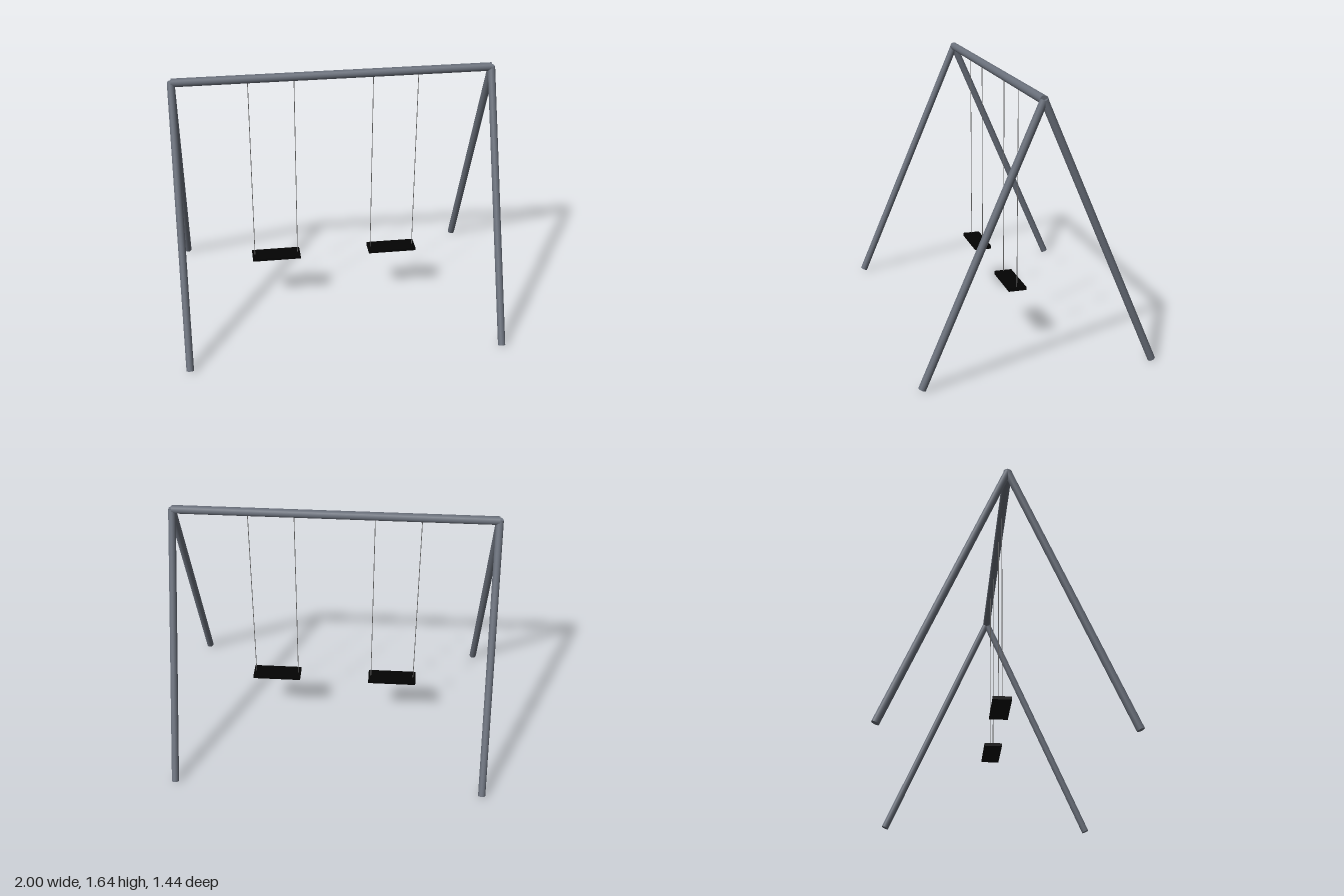
import * as THREE from 'three';

export function createModel() {
  const model = new THREE.Group();
  model.name = 'swingSet';

  const steel = new THREE.MeshStandardMaterial({ name: 'blue grey steel', color: 0x6a707b });
  const rubber = new THREE.MeshStandardMaterial({ name: 'black rubber', color: 0x030303 });
  const cable = new THREE.MeshStandardMaterial({ name: 'grey cable', color: 0x747474 });

  const BEAM_Y = 1.614;
  const LEG_X = 0.977;
  const UP = new THREE.Vector3(0, 1, 0);

  // Straight round bar between two points
  function bar(name, from, to, radius, sides, material) {
    const a = new THREE.Vector3(...from);
    const b = new THREE.Vector3(...to);
    const dir = b.clone().sub(a);
    const mesh = new THREE.Mesh(
      new THREE.CylinderGeometry(radius, radius, dir.length(), sides), material);
    mesh.position.copy(a).add(b).multiplyScalar(0.5);
    mesh.quaternion.setFromUnitVectors(UP, dir.normalize());
    mesh.name = name;
    return mesh;
  }

  // Top beam
  model.add(bar('topBeam', [-LEG_X, BEAM_Y, 0], [LEG_X, BEAM_Y, 0], 0.026, 16, steel));

  // A-frame legs at both ends
  for (const sx of [-1, 1]) {
    const frame = new THREE.Group();
    frame.name = sx > 0 ? 'leftFrame' : 'rightFrame';
    for (const sz of [-1, 1]) {
      frame.add(bar(sz > 0 ? 'frontLeg' : 'backLeg',
        [sx * LEG_X, 0.009, sz * 0.697], [sx * LEG_X, BEAM_Y, 0], 0.023, 16, steel));
    }
    model.add(frame);
  }

  // Two swings: flat seat hung on a pair of cables
  for (const sx of [-1, 1]) {
    const swing = new THREE.Group();
    swing.name = sx > 0 ? 'leftSwing' : 'rightSwing';
    swing.position.x = sx * 0.383;
    const seat = new THREE.Mesh(new THREE.BoxGeometry(0.312, 0.02, 0.112), rubber);
    seat.name = 'seat';
    seat.position.y = 0.359;
    swing.add(seat);
    for (const side of [-1, 1]) {
      swing.add(bar('cable', [side * 0.14, 0.36, 0], [side * 0.14, BEAM_Y, 0], 0.0022, 8, cable));
    }
    model.add(swing);
  }

  return model;
}
